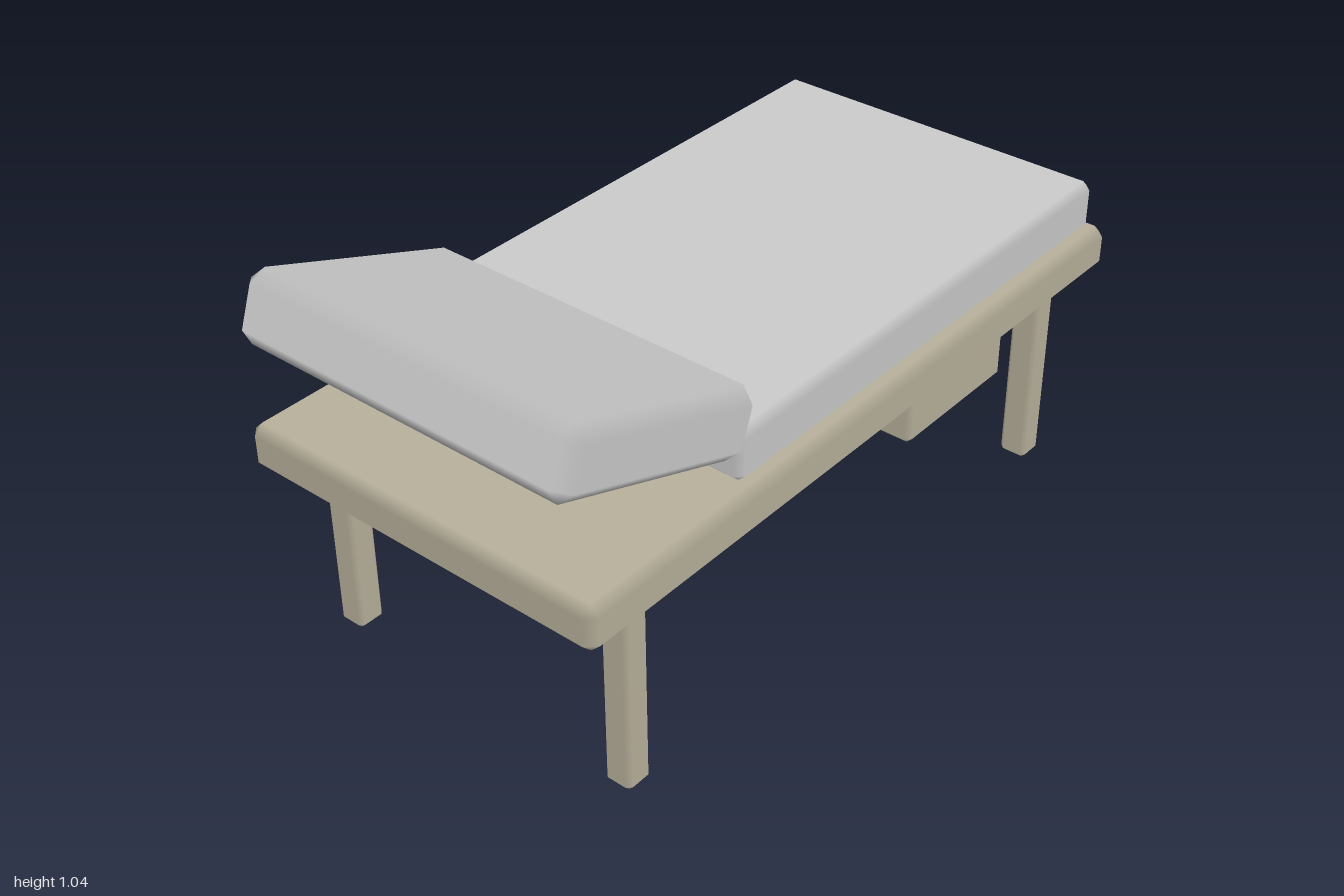
import * as THREE from 'three';
import { ConvexGeometry } from 'three/addons/geometries/ConvexGeometry.js';

const wood = new THREE.MeshStandardMaterial({ color: 0xb8b19c });
const cushion = new THREE.MeshStandardMaterial({ color: 0xcccccc });
const metal = new THREE.MeshStandardMaterial({ color: 0x444c4e });

// Box with chamfered edges: flat faces, softly shaded chamfers
function chamferBox(w, h, d, b) {
  const half = [w / 2, h / 2, d / 2];
  const points = [];
  for (let axis = 0; axis < 3; axis++)
    for (const sx of [-1, 1]) for (const sy of [-1, 1]) for (const sz of [-1, 1]) {
      const p = [sx, sy, sz].map((s, i) => s * (half[i] - (i === axis ? 0 : b)));
      points.push(new THREE.Vector3(...p));
    }
  const geo = new ConvexGeometry(points);
  const pos = geo.attributes.position, nor = geo.attributes.normal;
  // every corner lies on exactly one main face and takes its normal
  for (let i = 0; i < pos.count; i++) {
    const p = [pos.getX(i), pos.getY(i), pos.getZ(i)];
    nor.setXYZ(i, ...p.map((v, a) => (half[a] - Math.abs(v) < b * 0.5 ? Math.sign(v) : 0)));
  }
  return geo;
}

export function createModel() {
  const group = new THREE.Group();
  const add = (name, size, bevel, position, material) => {
    const mesh = new THREE.Mesh(chamferBox(...size, bevel), material);
    mesh.name = name;
    mesh.position.set(...position);
    group.add(mesh);
    return mesh;
  };

  // Table frame and legs
  add('tableTop', [1.02, 0.12, 1.97], 0.025, [0, 0.575, -0.012], wood);
  for (const [side, x] of [['Left', 0.423], ['Right', -0.423]])
    for (const [end, z] of [['front', 0.782], ['back', -0.805]])
      add(`${end}${side}Leg`, [0.075, 0.53, 0.075], 0.012, [x, 0.265, z], wood);

  // Cushions
  add('mattress', [0.95, 0.135, 1.425], 0.02, [0, 0.699, -0.249], cushion);
  const headrest = add('headrest', [0.95, 0.174, 0.61], 0.035, [0, 0.865, 0.695], cushion);
  headrest.rotation.x = -THREE.MathUtils.degToRad(20);

  // Drawer box with its pull at the back
  add('drawer', [0.74, 0.2, 0.42], 0.015, [0, 0.338, -0.555], wood);
  add('drawerHandle', [0.22, 0.035, 0.045], 0.01, [0, 0.348, -0.782], metal);

  return group;
}
